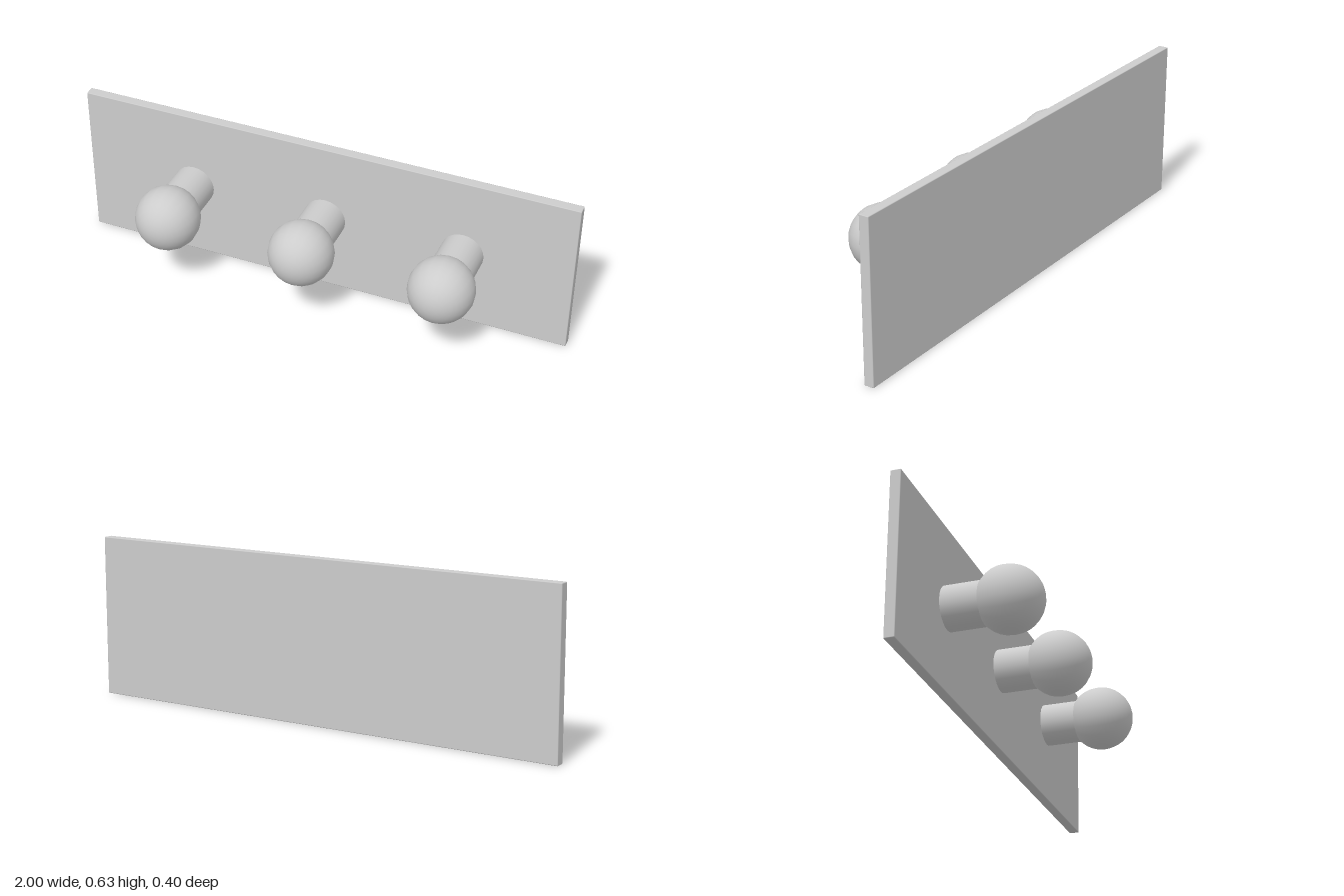
import * as THREE from 'three';
import { RoundedBoxGeometry } from 'three/addons/geometries/RoundedBoxGeometry.js';

export function createModel() {
  const model = new THREE.Group();
  model.name = 'pegRack';
  const grey = new THREE.MeshStandardMaterial({ color: 0xcccccc });
  grey.name = 'light grey';

  const add = (parent, name, geometry, x, y, z) => {
    const mesh = new THREE.Mesh(geometry, grey);
    mesh.name = name;
    mesh.position.set(x, y, z);
    parent.add(mesh);
  };

  // Back board with slightly eased edges
  add(model, 'backBoard', new RoundedBoxGeometry(2, 0.635, 0.04, 1, 0.003), 0, 0.3175, -0.18);

  // Round pegs: a stem out of the board and a ball on its end, axis along z
  const stem = new THREE.CylinderGeometry(0.084, 0.084, 0.16, 24).rotateX(Math.PI / 2);
  const ball = new THREE.SphereGeometry(0.127, 20, 16).rotateX(Math.PI / 2);
  ['right', 'middle', 'left'].forEach((side, i) => {
    const peg = new THREE.Group();
    peg.name = side + 'Peg';
    peg.position.set(-0.545 + i * 0.557, 0.319, 0);
    add(peg, 'stem', stem, 0, 0, -0.09);
    add(peg, 'ball', ball, 0, 0, 0.074);
    model.add(peg);
  });

  return model;
}
